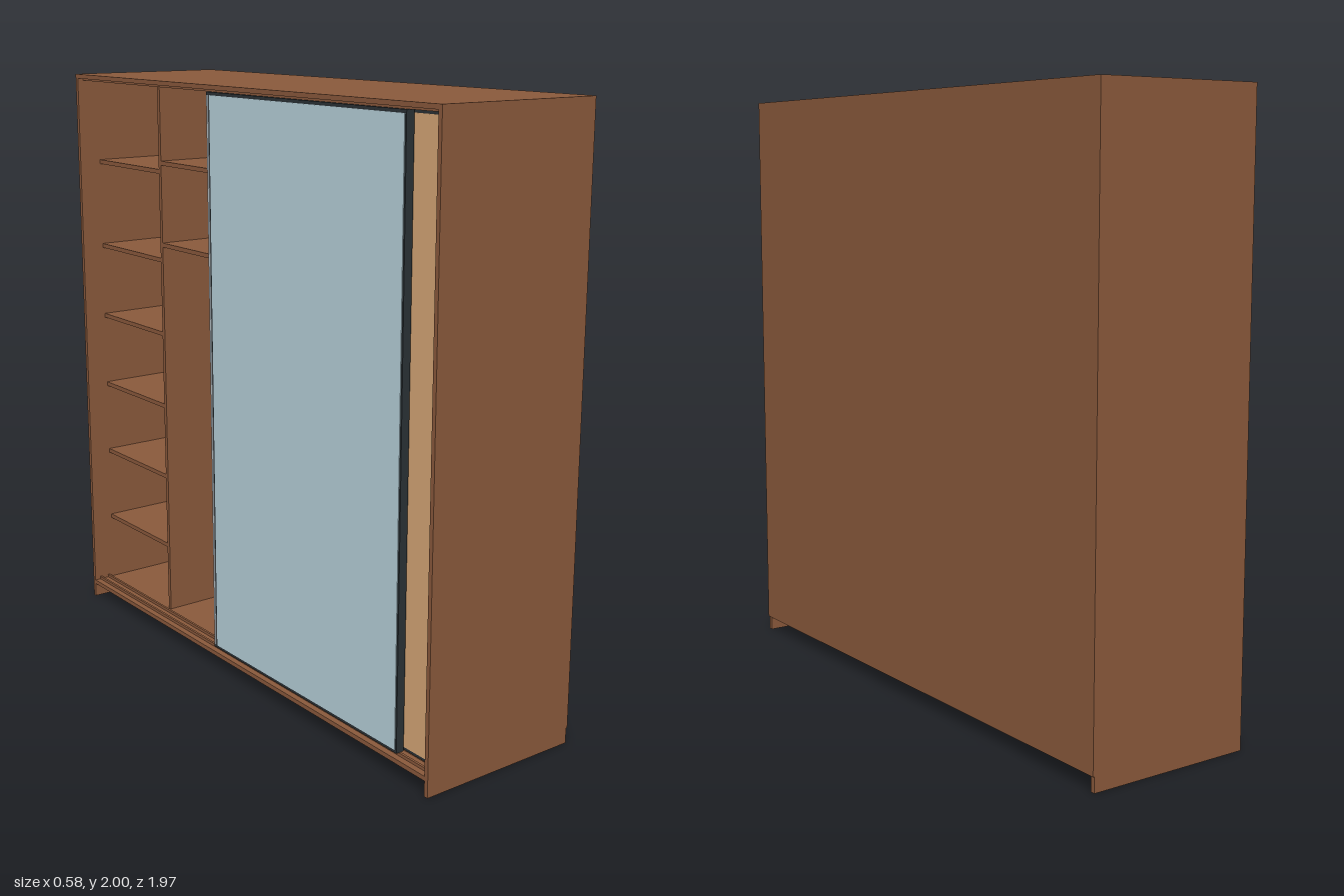
import * as THREE from 'three';

const paint = (name, color) => {
  const m = new THREE.MeshStandardMaterial({ color });
  m.name = name;
  return m;
};

export function createModel() {
  const wood = paint('brown wood', 0x8b5a3c);
  const glass = paint('pale blue glass', 0xb9d3dd);
  const tan = paint('tan panel', 0xd8a878);
  const dark = paint('dark frame', 0x2b3236);
  const metal = paint('light metal', 0xb4bec4);

  const wardrobe = new THREE.Group();
  wardrobe.name = 'wardrobe';

  // Box given by its lower and upper corner
  const box = (name, mat, x0, x1, y0, y1, z0, z1, parent = wardrobe) => {
    const mesh = new THREE.Mesh(new THREE.BoxGeometry(x1 - x0, y1 - y0, z1 - z0), mat);
    mesh.position.set((x0 + x1) / 2, (y0 + y1) / 2, (z0 + z1) / 2);
    mesh.name = name;
    parent.add(mesh);
    return mesh;
  };

  const T = 0.015;                 // board thickness
  const W = 0.985;                 // half width
  const open = -0.29, back = 0.285; // open side and back panel
  const inner = open + 0.08;       // set-back of the interior boards
  const floor = 0.05;

  // Carcass: the side boards reach the ground as feet
  box('backPanel', wood, back, 0.29, floor, 2, -W, W);
  box('topBoard', wood, open, back, 2 - T, 2, -W + T, W - T);
  box('bottomBoard', wood, open, back, floor, floor + T, -W + T, W - T);
  box('centreDivider', wood, inner, back, floor + T, 2 - T, -T / 2, T / 2);

  // Both halves: side board, divider, narrow shelves and wide shelves
  const divider = 0.553;
  for (const s of [-1, 1]) {
    const span = (name, x0, y0, y1, a, b) =>
      box(name, wood, x0, back, y0, y1, Math.min(s * a, s * b), Math.max(s * a, s * b));
    span('sideBoard', open, 0, 2, W - T, W);
    span('divider', inner, floor + T, 2 - T, divider - T / 2, divider + T / 2);
    for (const y of [0.32, 0.585, 0.85, 1.115, 1.38, 1.69])
      span('narrowShelf', inner, y - T, y, divider + T / 2, W - T);
    for (const y of [1.435, 1.72])
      span('wideShelf', inner, y - T, y, T / 2, divider - T / 2);
  }

  // Rails the doors slide on
  for (const x of [-0.265, -0.23]) {
    box('bottomRail', wood, x - 0.004, x + 0.004, floor + T, 0.075, -W + T, W - T);
    box('topRail', wood, x - 0.004, x + 0.004, 1.977, 2 - T, -W + T, W - T);
  }

  // Sliding door: dark frame, thin coloured faces and an upright grip
  const slidingDoor = (name, panel, x, z0) => {
    const door = new THREE.Group();
    door.name = name;
    const z1 = z0 + 0.98, y0 = 0.075, y1 = 1.977, h = 0.014;
    box('doorFrame', dark, x - h, x + h, y0, y1, z0, z1, door);
    for (const s of [-1, 1]) {
      const f = x + s * (h + 0.001);
      box('doorPanel', panel, f - 0.001, f + 0.001, y0 + 0.01, y1 - 0.01, z0 + 0.02, z1 - 0.006, door);
      box('doorGrip', metal, f - 0.001, f + 0.001, y0 + 0.01, y1 - 0.01, z0 + 0.003, z0 + 0.013, door);
    }
    wardrobe.add(door);
  };
  slidingDoor('outerSlidingDoor', glass, -0.265, -0.15);
  slidingDoor('innerSlidingDoor', tan, -0.23, -0.012);

  return wardrobe;
}
